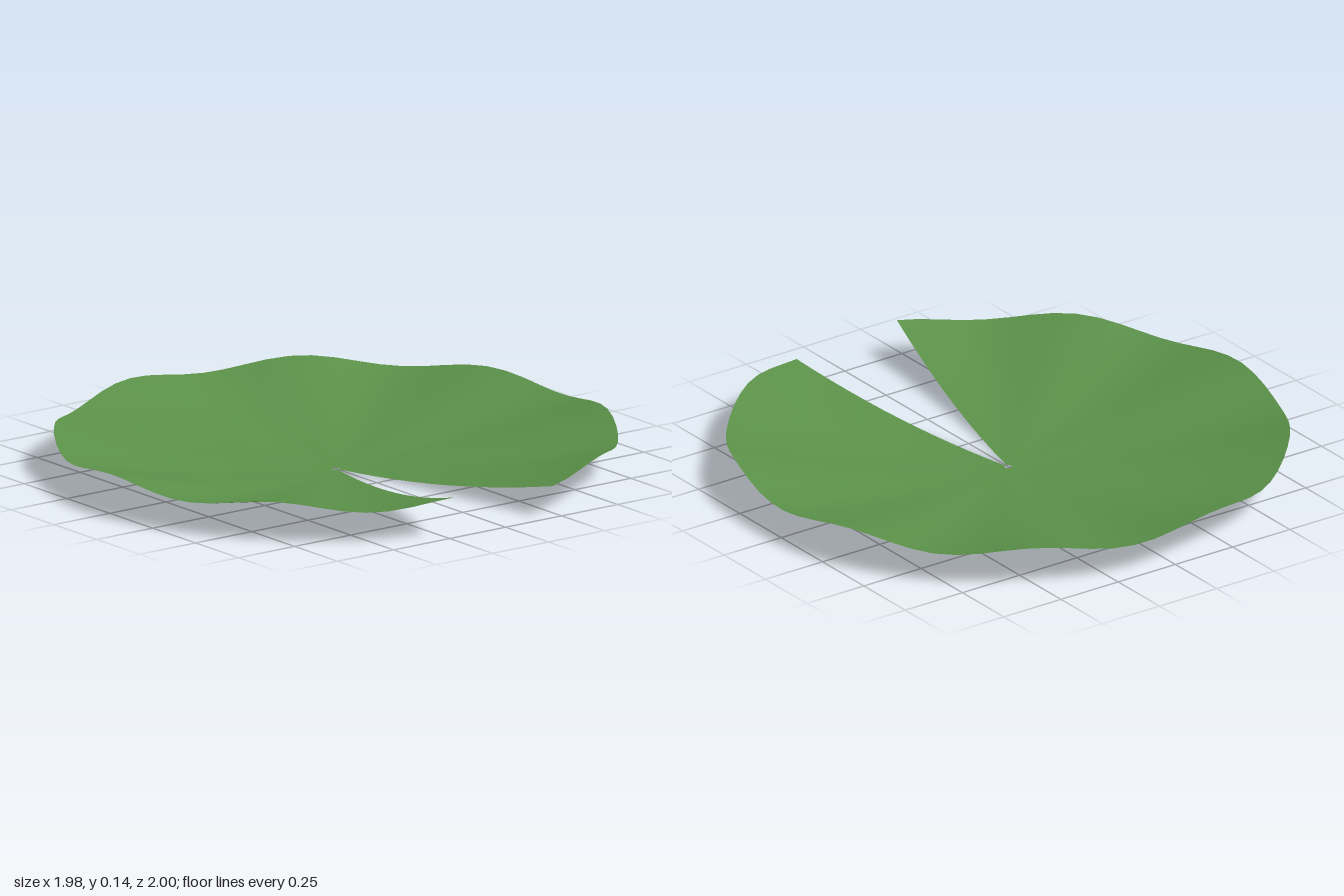
import * as THREE from 'three';

const NOTCH = 0.221;  // half angle of the slit, opening towards +x
const INNER = 0.013;  // tiny hole where the slit ends
const LOBES = 9;      // ripples around the rim

export function createModel() {
  const group = new THREE.Group();
  group.name = 'lilyPad';

  const leafGreen = new THREE.MeshStandardMaterial({ color: 0x5a9048, side: THREE.DoubleSide });
  leafGreen.name = 'leafGreen';

  // Flat slit disc, laid down so that it faces up
  const leaf = new THREE.RingGeometry(INNER, 1, 72, 12, NOTCH, Math.PI * 2 - NOTCH * 2);
  leaf.rotateX(-Math.PI / 2);

  // Dish it upwards and ripple it towards the rim
  const pos = leaf.attributes.position;
  for (let i = 0; i < pos.count; i++) {
    const x = pos.getX(i), z = pos.getZ(i);
    const r = Math.hypot(x, z);
    const ripple = Math.sin(LOBES * Math.atan2(z, x));
    pos.setY(i, r * r * (0.1275 + 0.0175 * ripple));
  }
  leaf.computeVertexNormals();
  leaf.translate(0.012, 0, 0);

  const pad = new THREE.Mesh(leaf, leafGreen);
  pad.name = 'leaf';
  group.add(pad);
  return group;
}
